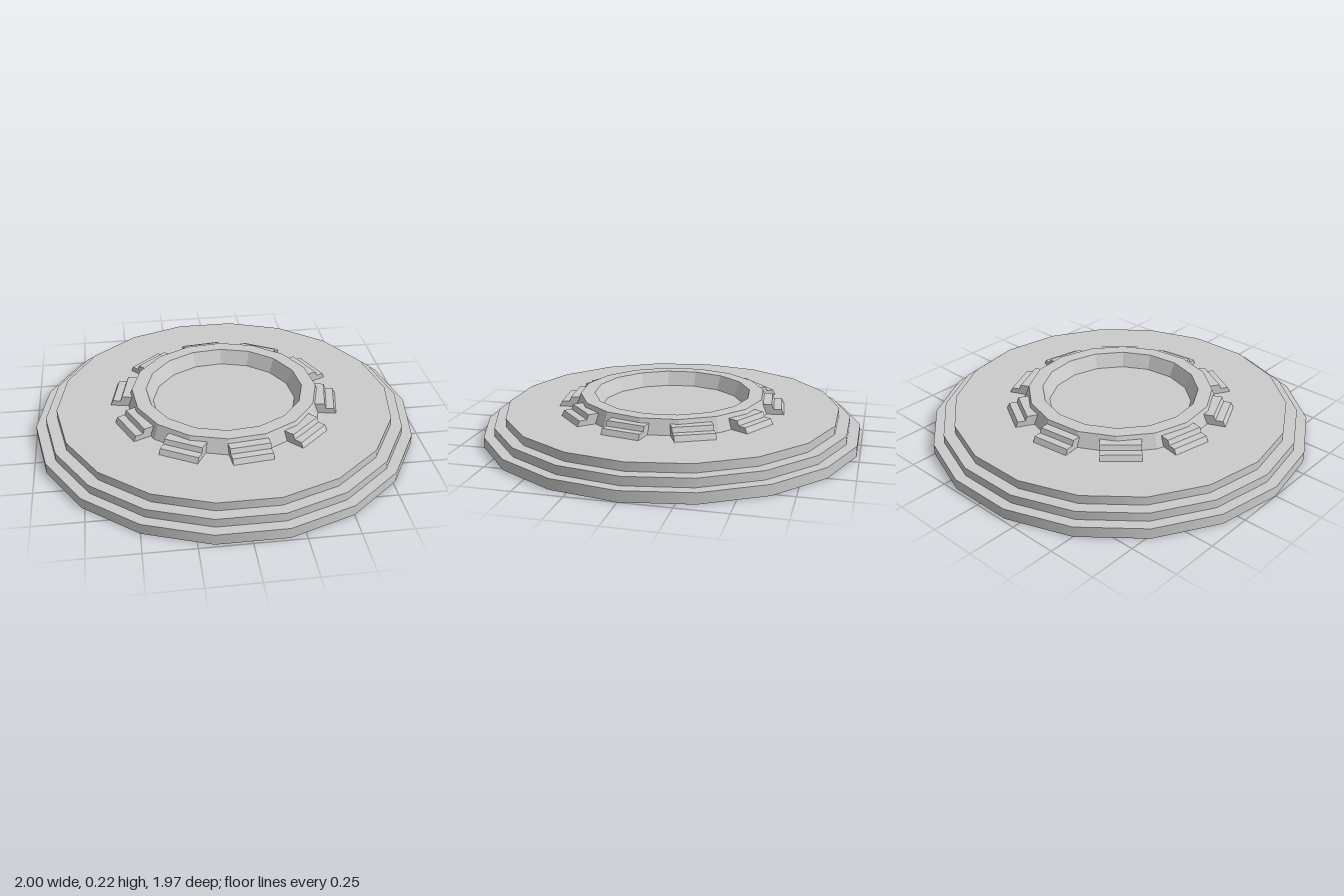
import * as THREE from 'three';

const rad = THREE.MathUtils.degToRad;

export function createModel() {
  const group = new THREE.Group();
  const smooth = new THREE.MeshStandardMaterial({ color: 0xcccccc });
  const flat = new THREE.MeshStandardMaterial({ color: 0xcccccc, flatShading: true });

  const add = (name, geometry, material) => {
    const mesh = new THREE.Mesh(geometry, material);
    mesh.name = name;
    group.add(mesh);
    return mesh;
  };

  // Three stacked 18-sided steps, corners on the x axis
  const steps = [[1, 0, 0.055], [0.945, 0.055, 0.1], [0.885, 0.1, 0.145]];
  steps.forEach(([r, y0, y1], i) => {
    const step = new THREE.CylinderGeometry(r, r, y1 - y0, 18, 1, false, Math.PI / 2);
    step.translate(0, (y0 + y1) / 2, 0);
    add(`baseStep${i + 1}`, step, smooth);
  });

  // Raised ring with sloping inner and outer walls
  const profile = [[0.515, 0.145], [0.487, 0.22], [0.413, 0.22], [0.378, 0.145]];
  const ring = new THREE.LatheGeometry(profile.map(([x, y]) => new THREE.Vector2(x, y)), 16, rad(17.5));
  add('ring', ring, flat);

  // Ten two-step blocks around the ring; profile is (radius, height)
  const width = 0.205;
  const shape = new THREE.Shape([
    [0.45, 0.145], [0.593, 0.145], [0.58, 0.173], [0.54, 0.173], [0.53, 0.198], [0.45, 0.198],
  ].map(([x, y]) => new THREE.Vector2(x, y)));
  const block = new THREE.ExtrudeGeometry(shape, { depth: width, bevelEnabled: false });
  block.translate(0, 0, -width / 2);
  block.rotateY(-Math.PI / 2); // radius now runs along +z
  for (let i = 0; i < 10; i++) {
    add(`steppedBlock${i + 1}`, block, flat).rotation.y = rad(6.5 + i * 36);
  }

  return group;
}
